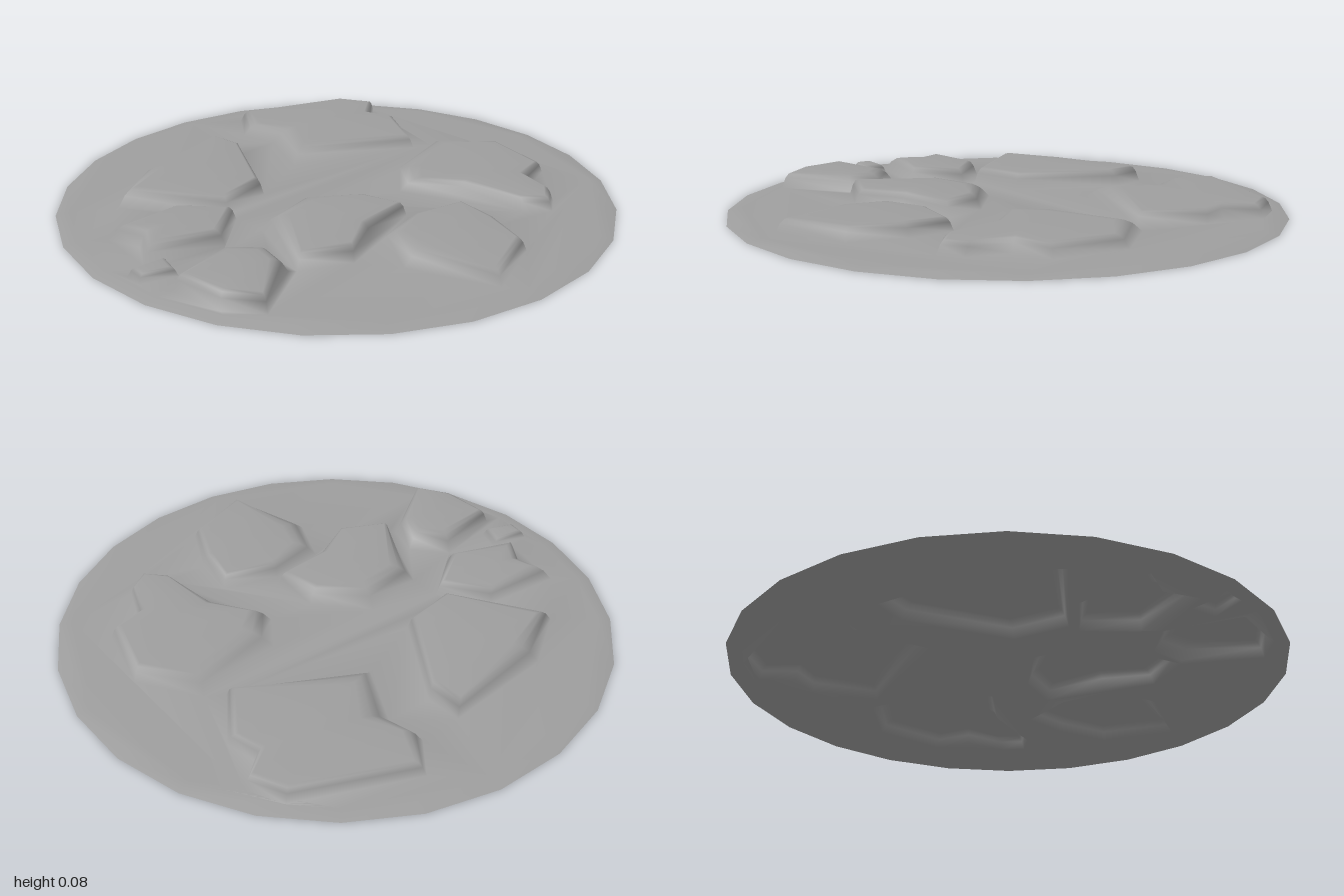
import * as THREE from 'three';
import { mergeGeometries, mergeVertices } from 'three/addons/utils/BufferGeometryUtils.js';

const material = new THREE.MeshStandardMaterial({ color: 0x9e9e9e, side: THREE.DoubleSide });
const GROUND = 0.01;
const SIDES = 24;
const FLAT_RADIUS = 0.95;

// Outline corners are [x, z]; soft is the direction (angle from +x towards +z) of the gentle slope
const STONES = [
  { name: 'backRightStone', height: 0.062, soft: 2.7, outline: [
    [0.09, -0.7], [0.17, -0.84], [0.61, -0.72], [0.69, -0.6], [0.6, -0.5], [0.64, -0.39],
    [0.53, -0.17], [0.05, -0.32], [0.13, -0.56]] },
  { name: 'backLeftStone', height: 0.075, soft: -2.3, outline: [
    [-0.07, -0.67], [-0.04, -0.54], [-0.2, -0.17], [-0.4, -0.11], [-0.67, -0.4], [-0.48, -0.57]] },
  { name: 'leftStone', height: 0.07, soft: 3.1, outline: [
    [-0.83, -0.2], [-0.54, -0.21], [-0.4, -0.06], [-0.55, 0.09], [-0.84, 0.05], [-0.78, -0.08]] },
  { name: 'pebble', height: 0.045, soft: 0, outline: [
    [-0.92, 0.08], [-0.77, 0.08], [-0.79, 0.18], [-0.92, 0.15]] },
  { name: 'frontLeftStone', height: 0.072, soft: -0.8, outline: [
    [-0.86, 0.25], [-0.6, 0.14], [-0.48, 0.24], [-0.5, 0.37], [-0.72, 0.56], [-0.82, 0.45]] },
  { name: 'centreStone', height: 0.072, soft: -1.7, outline: [
    [-0.38, 0.06], [-0.15, -0.02], [0.03, 0.13], [0.08, 0.29], [-0.14, 0.36], [-0.3, 0.46], [-0.48, 0.39]] },
  { name: 'frontStone', height: 0.062, soft: 3.1, outline: [
    [-0.15, 0.4], [0.05, 0.345], [0.26, 0.38], [0.26, 0.55], [0.2, 0.75], [-0.05, 0.88], [-0.2, 0.59]] },
  { name: 'rightStone', height: 0.062, soft: -1.9, outline: [
    [0.2, 0.12], [0.27, -0.02], [0.6, -0.14], [0.77, 0.05], [0.74, 0.32], [0.61, 0.38], [0.57, 0.53],
    [0.5, 0.59], [0.42, 0.53], [0.34, 0.28]] },
];

// Lay a flat geometry on the ground, with its outermost corners touching y = 0
function layDown(geometry) {
  geometry.deleteAttribute('normal');
  geometry.deleteAttribute('uv');
  geometry.rotateX(-Math.PI / 2);
  const p = geometry.attributes.position;
  for (let i = 0; i < p.count; i++) {
    p.setY(i, Math.hypot(p.getX(i), p.getZ(i)) > 0.99 ? 0 : GROUND);
  }
  return geometry;
}

// Flat disc with an opening under every stone
function makeGround() {
  const edge = [];
  for (let i = 0; i < SIDES; i++) {
    const a = (i / SIDES) * Math.PI * 2;
    edge.push(new THREE.Vector2(Math.cos(a), Math.sin(a)).multiplyScalar(FLAT_RADIUS));
  }
  const shape = new THREE.Shape(edge);
  for (const { outline } of STONES) {
    shape.holes.push(new THREE.Path(outline.map(([x, z]) => new THREE.Vector2(x, -z))));
  }
  return layDown(new THREE.ShapeGeometry(shape));
}

// Open shell: rings step in from the outline, round over the edge and meet in a low dome
function makeStone({ height, soft, outline }) {
  const n = outline.length;
  const cx = outline.reduce((sum, p) => sum + p[0], 0) / n;
  const cz = outline.reduce((sum, p) => sum + p[1], 0) / n;
  const rings = [[0, 0, 0], [0.35, 0, 0.6], [0.65, 0, 0.86], [1, 0, 0.95], [1, 0.5, 0.99]];
  const positions = [], index = [];
  for (const [bevel, inward, lift] of rings) {
    for (const [x, z] of outline) {
      const reach = Math.hypot(x - cx, z - cz);
      const facing = Math.max(0, Math.cos(Math.atan2(z - cz, x - cx) - soft));
      const width = Math.min(0.04 + 0.09 * facing ** 2, reach * 0.4);
      const k = (1 - (bevel * width) / reach) * (1 - inward);
      positions.push(cx + (x - cx) * k, GROUND + (height - GROUND) * lift, cz + (z - cz) * k);
    }
  }
  positions.push(cx, height, cz);

  // Outlines run clockwise seen from above, so corners are taken in reverse to face up
  for (let r = 0; r < rings.length; r++) {
    for (let i = 0; i < n; i++) {
      const a = r * n + i, b = r * n + (i + 1) % n;
      if (r === rings.length - 1) index.push(a, rings.length * n, b);
      else index.push(a, b + n, b, a, a + n, b + n);
    }
  }
  const geometry = new THREE.BufferGeometry();
  geometry.setAttribute('position', new THREE.Float32BufferAttribute(positions, 3));
  geometry.setIndex(index);
  return geometry;
}

export function createModel() {
  const group = new THREE.Group();
  group.name = 'stonyGroundPatch';
  const parts = [
    { name: 'ground', geometry: makeGround() },
    { name: 'rim', geometry: layDown(new THREE.RingGeometry(FLAT_RADIUS, 1, SIDES)) },
    ...STONES.map((stone) => ({ name: stone.name, geometry: makeStone(stone) })),
  ];

  // Weld everything so the shading flows from the ground up the stones
  const skin = mergeVertices(mergeGeometries(parts.map((part) => part.geometry)));
  skin.computeVertexNormals();

  // Each part draws its own run of faces from the welded skin
  const corners = Array.from(skin.index.array);
  for (const { name, geometry } of parts) {
    const piece = new THREE.BufferGeometry();
    piece.setAttribute('position', skin.attributes.position);
    piece.setAttribute('normal', skin.attributes.normal);
    piece.setIndex(corners.splice(0, geometry.index.count));
    const mesh = new THREE.Mesh(piece, material);
    mesh.name = name;
    group.add(mesh);
  }
  return group;
}
